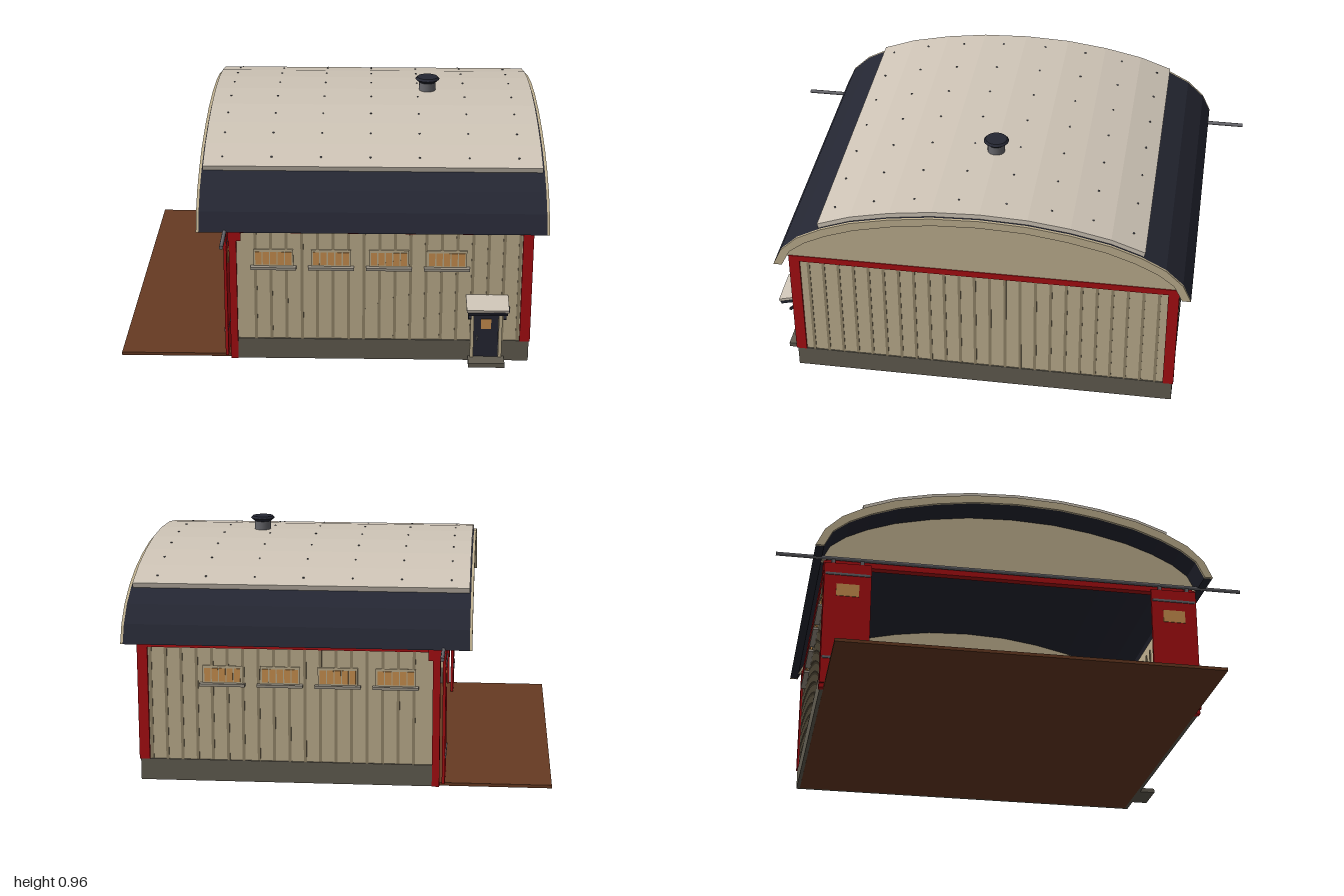
import * as THREE from 'three';

const mat = (name, color) => {
  const m = new THREE.MeshStandardMaterial({ color });
  m.name = name;
  return m;
};

export function createModel() {
  const tan = mat('tan cladding', 0xbfb08f);
  const rib = mat('dark tan rib', 0x94866a);
  const grey = mat('plinth grey', 0x625d51);
  const red = mat('red trim', 0xa80e12);
  const navy = mat('navy metal', 0x252733);
  const light = mat('pale roof', 0xcfc5b7);
  const brown = mat('earth floor', 0x673a22);
  const orange = mat('amber glass', 0xcb9150);
  const steel = mat('steel', 0x66666b);
  const sillGrey = mat('sill grey', 0x9c9487);

  const model = new THREE.Group();
  model.name = 'arched shed';

  const add = (name, geo, m, parent = model) => {
    const mesh = new THREE.Mesh(geo, m);
    mesh.name = name;
    parent.add(mesh);
    return mesh;
  };
  // Box given by its limits on each axis
  const box = (name, m, x0, x1, y0, y1, z0, z1, parent = model) => {
    const mesh = add(name, new THREE.BoxGeometry(x1 - x0, y1 - y0, z1 - z0), m, parent);
    mesh.position.set((x0 + x1) / 2, (y0 + y1) / 2, (z0 + z1) / 2);
    return mesh;
  };
  // Box on one long side; s = 1 is the front, -1 the back
  const sideBox = (name, m, s, x0, x1, y0, y1, z0, z1, parent = model) =>
    box(name, m, x0, x1, y0, y1, Math.min(s * z0, s * z1), Math.max(s * z0, s * z1), parent);

  // Half profiles of the arch, from eave to ridge, as [z, y]
  const outer = [[.845, .58], [.81, .655], [.74, .722], [.64, .775], [.52, .819], [.36, .854], [.19, .877], [0, .885]];
  const inner = [[.81, .58], [.775, .65], [.71, .7], [.62, .744], [.505, .785], [.35, .82], [.185, .844], [0, .852]];
  const cover = [[.655, .79], [.52, .839], [.36, .874], [.19, .897], [0, .905]];
  const under = cover.map(([z, y]) => [z - .006, y - .024]);
  under[under.length - 1][0] = 0;

  const fullArch = half => [...half, ...half.slice(0, -1).reverse().map(([z, y]) => [-z, y])];
  const extrudeX = (points, x0, x1) => {
    const shape = new THREE.Shape(points.map(([z, y]) => new THREE.Vector2(z, y)));
    const geo = new THREE.ExtrudeGeometry(shape, { depth: x1 - x0, bevelEnabled: false });
    return geo.rotateY(Math.PI / 2).translate(x0, 0, 0);
  };
  const band = (a, b, x0, x1) => extrudeX([...fullArch(a), ...fullArch(b).reverse()], x0, x1);

  // Roof
  add('roofShell', band(outer, inner, -.53, .85), navy);
  add('roofCover', band(cover, under, -.525, .843), light);
  for (const x of [-.54, .85]) add('gableFascia', band(outer, inner, x, x + .01), tan);
  add('rightGable', extrudeX(fullArch(inner), .78, .8), tan);
  add('openSideGable', extrudeX(fullArch(inner), -.4, -.38), tan);

  // Small fixings along the roof facets
  const boltGeo = new THREE.CylinderGeometry(.004, .004, .006, 6);
  for (const s of [-1, 1])
    for (const [z, y] of [[.6, .811], [.44, .857], [.275, .886], [.095, .901]])
      for (let i = 0; i < 7; i++)
        add('roofBolt', boltGeo, steel).position.set(-.45 + i * .2, y, s * z);

  // Roof vent
  const vent = new THREE.Group();
  vent.name = 'roofVent';
  vent.position.set(.393, 0, 0);
  model.add(vent);
  add('ventPipe', new THREE.CylinderGeometry(.036, .036, .07, 16), steel, vent).position.y = .915;
  add('ventCone', new THREE.CylinderGeometry(.052, .036, .014, 20), navy, vent).position.y = .947;
  add('ventCap', new THREE.CylinderGeometry(.044, .052, .009, 20), navy, vent).position.y = .958;

  // Floor running out through the open side
  box('earthFloor', brown, -.867, .785, 0, .013, -.777, .777);

  // Right wall with ribs on both faces
  box('rightPlinth', grey, .765, .8, .001, .09, -.79, .79);
  box('rightWall', tan, .775, .795, .09, .6, -.785, .785);
  for (let i = 0; i < 24; i++) {
    const z = -.719 + i * .0625;
    box('wallRib', rib, .77, .799, .09, .56, z - .006, z + .006);
  }
  box('rightTopTrim', red, .78, .803, .558, .585, -.79, .79);

  // Long walls, front and back
  for (const s of [1, -1]) {
    sideBox('sidePlinth', grey, s, -.39, .798, .001, .09, .76, .792);
    sideBox('sideWall', tan, s, -.4, .795, .09, .605, .765, .785);
    for (let i = 0; i < 18; i++) {
      const x = -.31 + i * .0625;
      sideBox('wallRib', rib, s, x - .006, x + .006, .09, .56, .76, .789);
    }
    sideBox('sideTopTrim', red, s, -.4, .8, .558, .585, .77, .794);
    sideBox('closedCornerPost', red, s, .762, .804, .09, .585, .753, .797);
    sideBox('openCornerPost', red, s, -.415, -.385, .001, .575, .755, .797);
    sideBox('postHead', red, s, -.418, -.367, .525, .572, .75, .801);

    // Window rows of five amber panes over a sill
    for (const cx of [-.237, -.005, .227, .46]) {
      const win = new THREE.Group();
      win.name = 'window';
      model.add(win);
      sideBox('windowFrame', tan, s, cx - .08, cx + .08, .413, .485, .762, .791, win);
      for (let i = -2; i <= 2; i++)
        for (const [z0, z1] of [[.79, .794], [.759, .763]])
          sideBox('pane', orange, s, cx + i * .03 - .0125, cx + i * .03 + .0125, .42, .475, z0, z1, win);
      sideBox('sill', sillGrey, s, cx - .092, cx + .092, .403, .414, .78, .81, win);
    }

    // Sliding door leaf pushed to the side of the opening
    const leaf = new THREE.Group();
    leaf.name = 'slidingDoor';
    model.add(leaf);
    sideBox('doorPanel', red, s, -.437, -.425, .014, .556, .6, .797, leaf);
    sideBox('doorWindow', orange, s, -.44, -.422, .405, .46, .65, .745, leaf);
    for (const y of [.12, .5]) sideBox('doorBar', steel, s, -.441, -.424, y, y + .01, .605, .792, leaf);
    for (const z of [.64, .76]) sideBox('doorHanger', steel, s, -.432, -.424, .55, .58, z - .008, z + .008, leaf);
  }

  // Opening lintel and sliding rail
  box('openingLintel', red, -.412, -.38, .556, .586, -.79, .79);
  const rail = add('slidingRail', new THREE.CylinderGeometry(.008, .008, 2, 10), steel);
  rail.rotation.x = Math.PI / 2;
  rail.position.set(-.427, .581, 0);

  // Entrance door with step and canopy
  const porch = new THREE.Group();
  porch.name = 'entrance';
  model.add(porch);
  box('doorStep', grey, .553, .7, .001, .02, .78, .86, porch);
  box('entranceDoor', navy, .575, .675, .02, .228, .78, .796, porch);
  box('entranceWindow', orange, .604, .645, .146, .188, .79, .8, porch);
  box('doorHandle', steel, .585, .592, .095, .115, .795, .805, porch);
  for (const x of [.561, .676]) box('doorJamb', tan, x, x + .014, .02, .228, .78, .803, porch);
  box('doorHead', navy, .561, .69, .225, .24, .78, .803, porch);
  const canopy = box('canopyRoof', light, .54, .71, .269, .281, .785, .885, porch);
  canopy.rotation.x = .26;
  const canopyBase = box('canopyBase', navy, .545, .705, .253, .265, .785, .88, porch);
  canopyBase.rotation.x = .26;
  for (const x of [.555, .697]) {
    const brace = box('canopyBrace', navy, x - .006, x + .006, .224, .234, .79, .85, porch);
    brace.rotation.x = .7;
  }
  box('porchLamp', navy, .703, .718, .226, .242, .785, .81, porch);

  return model;
}
